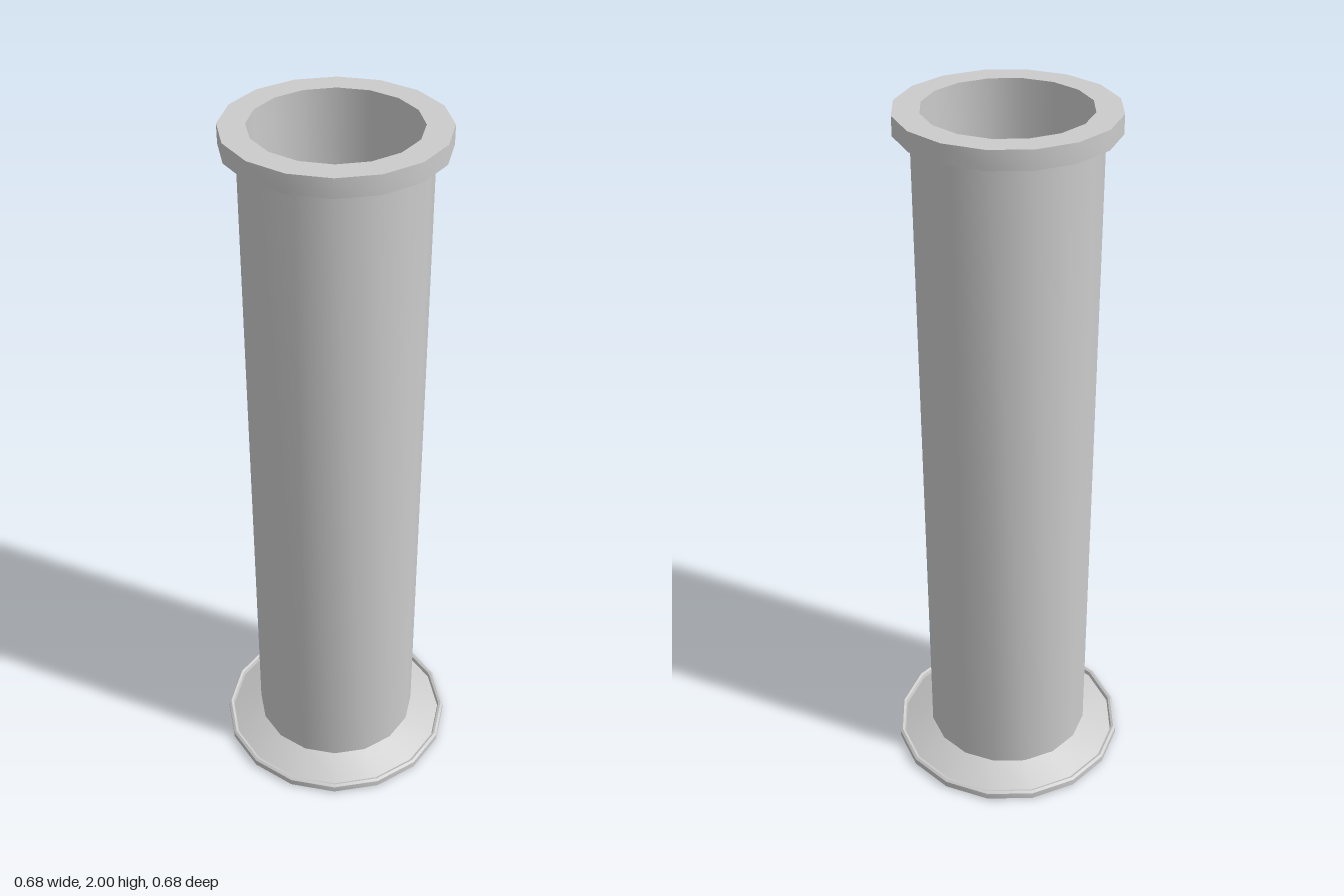
import * as THREE from 'three';
import { toCreasedNormals } from 'three/addons/utils/BufferGeometryUtils.js';

const SIDES = 16;

// Turns a [radius, height] profile, listed upwards along the outside, around the y axis
function turned(name, profile, material, crease = Math.PI / 6) {
  const points = profile.map(([r, y]) => new THREE.Vector2(r, y));
  let geometry = new THREE.LatheGeometry(points, SIDES);
  if (crease) geometry = toCreasedNormals(geometry, crease);
  const mesh = new THREE.Mesh(geometry, material);
  mesh.name = name;
  return mesh;
}

export function createModel() {
  const group = new THREE.Group();
  group.name = 'cylinderVessel';
  const grey = new THREE.MeshStandardMaterial({ color: 0xcccccc });
  const purple = new THREE.MeshStandardMaterial({ color: 0x4a27a0 });

  group.add(
    // Foot: flat underside, thin raised lip, shallow groove and cone up to the tube
    turned('foot', [
      [0, 0], [0.336, 0], [0.342, 0.005], [0.342, 0.024], [0.335, 0.029],
      [0.328, 0.026], [0.325, 0.014], [0.238, 0.057],
    ], grey),
    turned('tubeWall', [[0.238, 0.057], [0.238, 1.95]], grey),
    // Rim collar with a flat top
    turned('rimCollar', [[0.238, 1.95], [0.28, 1.95], [0.28, 2], [0.212, 2]], grey),
    // Inside of the tube
    turned('innerWall', [[0.212, 2], [0.212, 0.06]], grey),
    // Coloured floor with a sloping edge, smoothly shaded
    turned('innerFloor', [[0.212, 0.06], [0.184, 0.03], [0, 0.03]], purple, 0),
  );
  return group;
}
